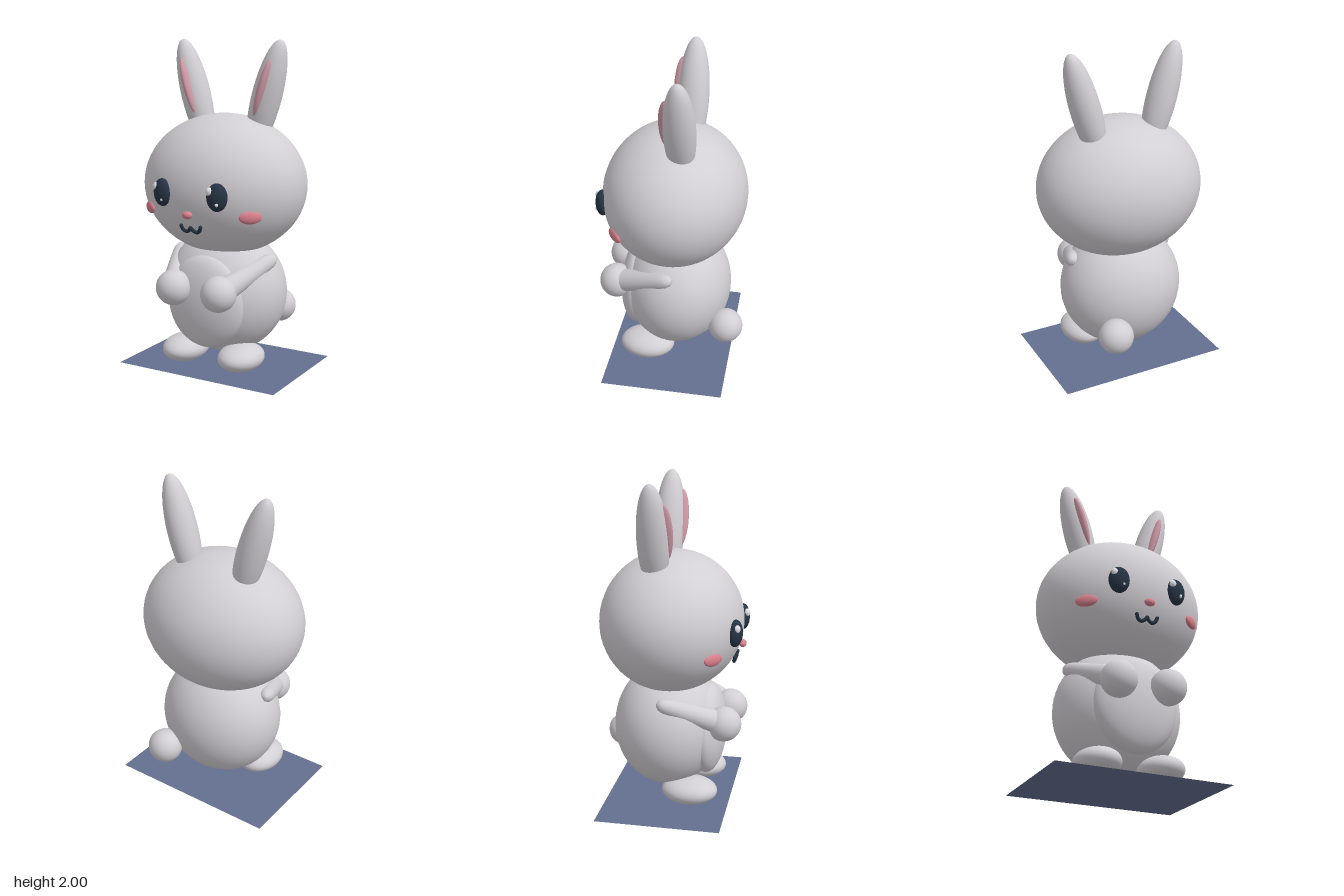
import * as THREE from 'three';

const material = (name, color, extra = {}) => {
  const m = new THREE.MeshStandardMaterial({ color, ...extra });
  m.name = name;
  return m;
};

export function createModel() {
  const fur = material('fur', 0xd2cfd4);
  const pink = material('blush pink', 0xd9808c);
  const innerPink = material('inner ear pink', 0xd09aa6);
  const dark = material('dark navy', 0x263444);
  const white = material('eye shine', 0xe6e6ea);
  const blue = material('base blue', 0x646f91, { side: THREE.DoubleSide });

  const model = new THREE.Group();
  model.name = 'bunny';

  const add = (name, geometry, mat, pos = [0, 0, 0], rot = [0, 0, 0]) => {
    const mesh = new THREE.Mesh(geometry, mat);
    mesh.name = name;
    mesh.position.set(...pos);
    mesh.rotation.set(...rot);
    model.add(mesh);
    return mesh;
  };

  // Ellipsoid from centre, radii and rotation
  const sphere = new THREE.SphereGeometry(1, 48, 32);
  const ellipsoid = (name, mat, pos, radii, rot) =>
    add(name, sphere, mat, pos, rot).scale.set(...radii);

  // Base sheet
  add('base', new THREE.PlaneGeometry(1.08, 0.76), blue, [0, 0, 0], [-Math.PI / 2, 0, 0]);

  // Trunk, head and tail
  ellipsoid('body', fur, [0, 0.46, -0.02], [0.387, 0.39, 0.34]);
  ellipsoid('belly', fur, [0, 0.438, 0.225], [0.26, 0.286, 0.115]);
  ellipsoid('head', fur, [0, 1.13, -0.004], [0.516, 0.43, 0.44]);
  ellipsoid('tail', fur, [0.2, 0.3, -0.358], [0.107, 0.107, 0.107]);

  // Tapered arm with a rounded shoulder, running up from the hand
  const armProfile = [
    [0.074, 0], [0.068, 0.12], [0.059, 0.25], [0.051, 0.36],
    [0.045, 0.4], [0.034, 0.43], [0.018, 0.446], [0, 0.45],
  ].map(([r, y]) => new THREE.Vector2(r, y));
  const armGeometry = new THREE.LatheGeometry(armProfile, 32);
  const up = new THREE.Vector3(0, 1, 0);

  for (const s of [-1, 1]) {
    const side = s > 0 ? 'left' : 'right';

    // Limbs
    ellipsoid(side + 'Foot', fur, [s * 0.198, 0.097, 0.144], [0.135, 0.083, 0.172]);
    ellipsoid(side + 'Hand', fur, [s * 0.156, 0.533, 0.345], [0.107, 0.107, 0.107]);
    const arm = add(side + 'Arm', armGeometry, fur, [s * 0.156, 0.533, 0.345]);
    arm.quaternion.setFromUnitVectors(up, new THREE.Vector3(s * -0.178, -0.167, 0.378).negate().normalize());

    // Ears
    ellipsoid(side + 'Ear', fur, [s * 0.248, 1.664, -0.069], [0.09, 0.347, 0.094], [0, 0, -s * 0.27]);
    ellipsoid(side + 'InnerEar', innerPink, [s * 0.256, 1.713, 0], [0.028, 0.178, 0.05], [0, 0, -s * 0.29]);

    // Eyes with two highlights, and cheeks
    ellipsoid(side + 'Eye', dark, [s * 0.185, 1.12, 0.408], [0.062, 0.082, 0.042], [0, s * 0.25, 0]);
    const shineZ = s > 0 ? 0.437 : 0.422;
    ellipsoid(side + 'EyeShine', white, [s * 0.185 - 0.033, 1.155, shineZ], [0.021, 0.025, 0.02]);
    ellipsoid(side + 'EyeGlint', white, [s * 0.185 + 0.015, 1.083, 0.438], [0.011, 0.012, 0.011]);
    ellipsoid(side + 'Cheek', pink, [s * 0.343, 1, 0.302], [0.067, 0.037, 0.02], [0, s * 0.69, 0]);
  }

  ellipsoid('nose', pink, [0, 1.004, 0.432], [0.033, 0.023, 0.023]);

  // Mouth: two scoops joined under the nose, with rounded ends
  for (const s of [-1, 1]) {
    const points = [[0.066, 0.932], [0.055, 0.908], [0.035, 0.898], [0.015, 0.906], [0, 0.924]]
      .map(([x, y]) => new THREE.Vector3(s * x, y, 0.388 + (y - 0.9) * 0.35 - x * x));
    const curve = new THREE.CatmullRomCurve3(points);
    add('mouth', new THREE.TubeGeometry(curve, 24, 0.011, 10), dark);
    for (const p of [points[0], points[4]])
      ellipsoid('mouthEnd', dark, p.toArray(), [0.011, 0.011, 0.011]);
  }

  return model;
}
